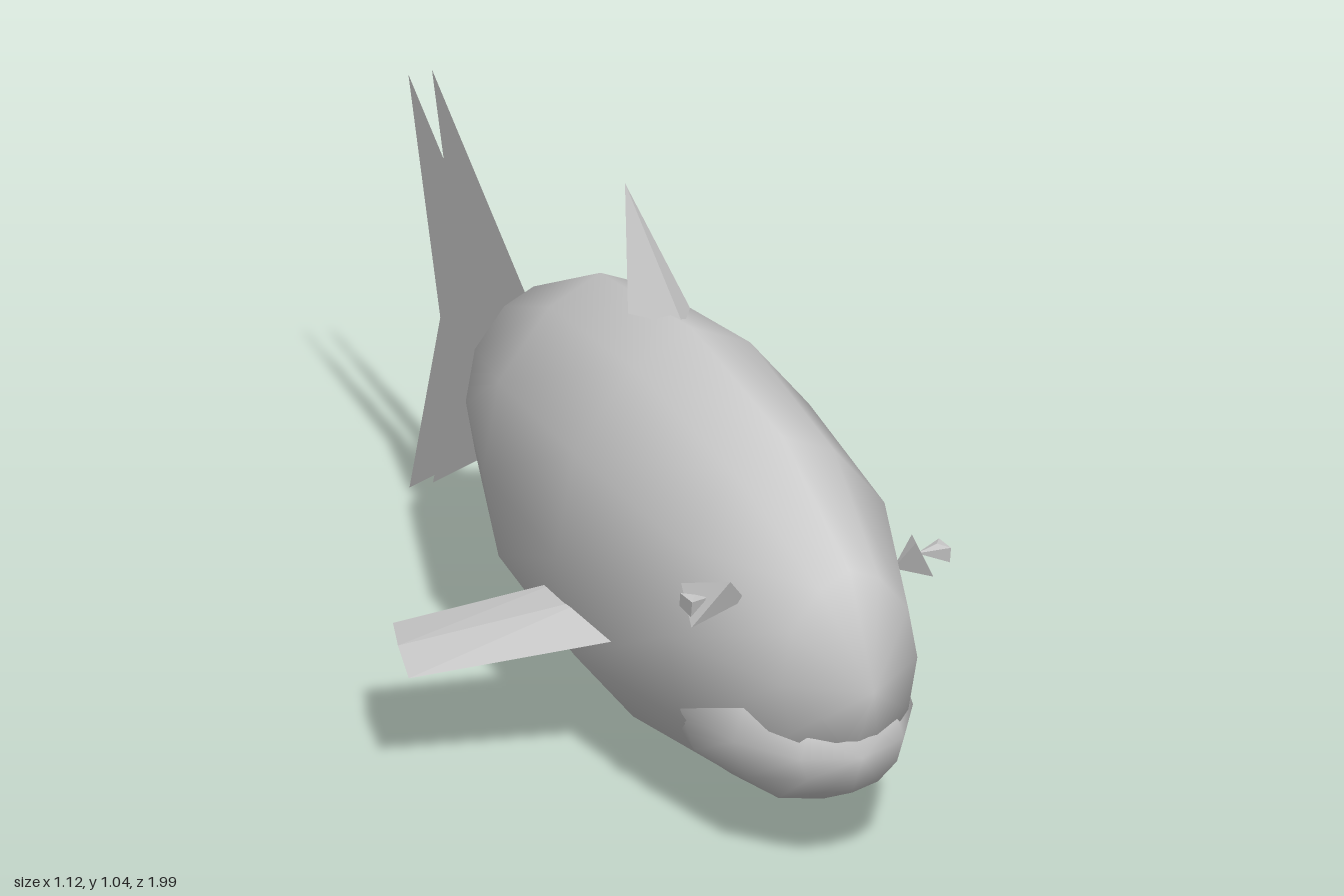
import * as THREE from 'three';
import { ConvexGeometry } from 'three/addons/geometries/ConvexGeometry.js';

const MID = 0.043; // x of the fish's centre plane

export function createModel() {
  const fish = new THREE.Group();
  fish.name = 'fish';
  const grey = new THREE.MeshStandardMaterial({ color: 0xcccccc, side: THREE.DoubleSide });
  grey.name = 'grey';

  const add = (name, geometry) => {
    const mesh = new THREE.Mesh(geometry, grey);
    mesh.name = name;
    fish.add(mesh);
    return mesh;
  };
  // faceted solid around a few corners
  const solid = (name, corners) =>
    add(name, new ConvexGeometry(corners.map((c) => new THREE.Vector3(...c))));
  const mirrored = (corners) => corners.map(([x, y, z]) => [2 * MID - x, y, z]);

  // body: twelve-sided ellipsoid with its poles at nose and tail, narrowed near back and belly
  const body = new THREE.SphereGeometry(1, 12, 6).rotateX(Math.PI / 2);
  const p = body.attributes.position;
  for (let i = 0; i < p.count; i++) {
    const ratio = Math.abs(p.getX(i)) / (Math.hypot(p.getX(i), p.getY(i)) || 1);
    if (ratio > 0.4 && ratio < 0.6) p.setX(i, p.getX(i) * 0.866);
  }
  body.scale(0.288, 0.428, 0.8);
  add('body', body).position.set(MID, 0.432, 0.195);

  // lower jaw, just breaking through the body's skin
  const jaw = new THREE.SphereGeometry(1, 12, 6).rotateX(Math.PI / 2).scale(0.22, 0.185, 0.345);
  add('jaw', jaw).position.set(MID, 0.272, 0.6);

  // tail: two parallel forked sheets
  const fork = new THREE.Shape(
    [[0.5, 0.53], [0.54, 0.555], [0.995, 0.885], [0.855, 0.43], [0.99, 0.01], [0.54, 0.315], [0.5, 0.34]]
      .map(([x, y]) => new THREE.Vector2(x, y)));
  for (const side of [-1, 1]) {
    const sheet = new THREE.ShapeGeometry(fork).rotateY(Math.PI / 2);
    add('tailFin', sheet).position.x = MID + side * 0.025;
  }

  // swept-back spike on the back
  solid('dorsalFin', [
    [0.043, 1.04, -0.097], [-0.012, 0.83, 0.03], [0.055, 0.835, 0.135], [0.11, 0.825, 0.05], [0.045, 0.825, 0.01],
  ]);

  // side fins: a pointed one on the left, a broad ridged one on the right
  solid('leftFin', [
    [0.29, 0.335, 0.3], [0.29, 0.30, 0.3], [0.29, 0.325, 0.05], [0.29, 0.305, 0.05],
    [0.557, 0.237, -0.04], [0.557, 0.213, -0.04],
  ]);
  solid('rightFin', [
    [-0.18, 0.325, 0.375], [-0.18, 0.345, 0.22], [-0.18, 0.325, 0.09],
    [-0.56, 0.245, 0.2], [-0.525, 0.255, 0.08], [-0.475, 0.238, -0.045],
  ]);

  // eyes: three-sided cone opening outwards, with a small flared pupil
  const eye = [[0.2, 0.56, 0.755], [0.24, 0.613, 0.772], [0.3, 0.508, 0.725], [0.288, 0.57, 0.655]];
  const pupil = [
    [0.265, 0.565, 0.725],
    [0.3, 0.585, 0.74], [0.318, 0.583, 0.765], [0.318, 0.55, 0.76], [0.318, 0.552, 0.71], [0.318, 0.58, 0.712],
  ];
  solid('leftEye', eye);
  solid('rightEye', mirrored(eye));
  solid('leftPupil', pupil);
  solid('rightPupil', mirrored(pupil));

  return fish;
}
